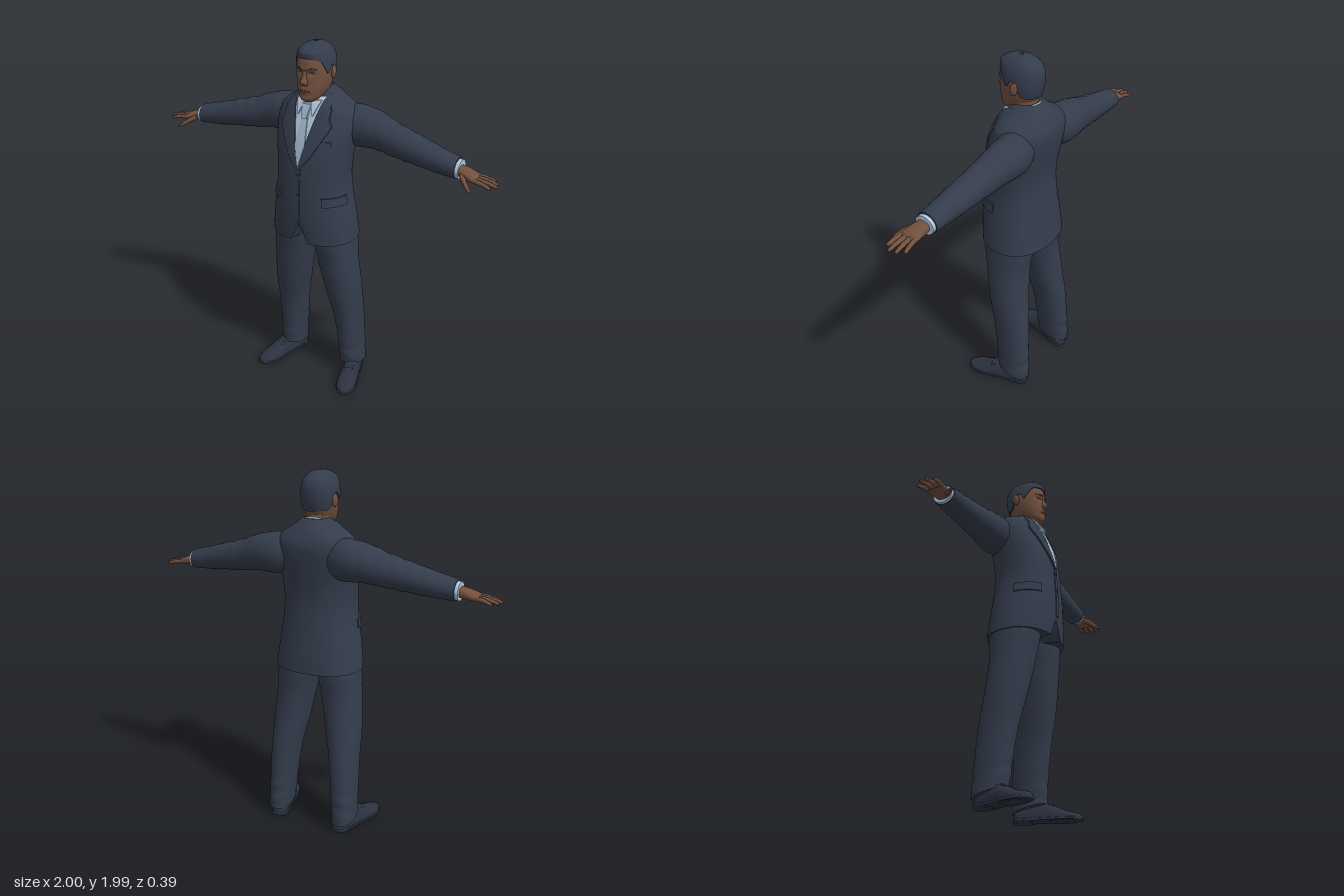
import * as THREE from 'three';
import { toCreasedNormals } from 'three/addons/utils/BufferGeometryUtils.js';

const mat = (name, color) => {
  const m = new THREE.MeshStandardMaterial({ color, side: THREE.DoubleSide });
  m.name = name;
  return m;
};

// Smooth monotone interpolation of rows keyed by their first column
function at(rows, t) {
  let i = 0;
  while (i < rows.length - 2 && t > rows[i + 1][0]) i++;
  const a = rows[i], b = rows[i + 1], h = b[0] - a[0];
  const k = Math.min(1, Math.max(0, (t - a[0]) / h));
  const slope = (j, c) => (rows[j + 1][c] - rows[j][c]) / (rows[j + 1][0] - rows[j][0]);
  const tangent = (j, c) => {
    if (j === 0) return slope(0, c);
    if (j === rows.length - 1) return slope(j - 1, c);
    const p = slope(j - 1, c), q = slope(j, c);
    return p * q <= 0 ? 0 : (2 * p * q) / (p + q);
  };
  return a.map((v, c) => c === 0 ? t :
    v * (1 + 2 * k) * (1 - k) ** 2 + b[c] * k * k * (3 - 2 * k) +
    h * (tangent(i, c) * k * (1 - k) ** 2 + tangent(i + 1, c) * k * k * (k - 1)));
}

// Geometry from points and faces, turned to face outwards
function finish(pts, idx, crease = 0.9) {
  const o = new THREE.Vector3(0, 1.6, 0), q = pts.map(p => p.clone().sub(o));
  let vol = 0;
  for (let i = 0; i < idx.length; i += 3) vol += q[idx[i]].dot(q[idx[i + 1]].clone().cross(q[idx[i + 2]]));
  const g = new THREE.BufferGeometry().setFromPoints(pts);
  g.setIndex(vol < 0 ? idx.reverse() : idx);
  return toCreasedNormals(g, crease);
}

const pow = (v, e) => Math.sign(v) * Math.abs(v) ** e;

// Closed loft; rows are [position on axis, centre 1, centre 2, radius 1, radius 2]
function loft(rows, { axis = 'y', n = 2, steps = 4, seg = 36, warp } = {}) {
  const pts = [], idx = [], ts = [];
  rows.slice(1).forEach((r, i) => {
    for (let k = 0; k < steps; k++) ts.push(rows[i][0] + (r[0] - rows[i][0]) * k / steps);
  });
  ts.push(rows[rows.length - 1][0]);
  const put = (t, a, b) => {
    const p = axis === 'x' ? new THREE.Vector3(t, a, b) : axis === 'y' ? new THREE.Vector3(a, t, b) : new THREE.Vector3(a, b, t);
    if (warp) warp(p);
    return pts.push(p) - 1;
  };
  for (const t of ts) {
    const [, c1, c2, r1, r2] = at(rows, t);
    for (let j = 0; j < seg; j++) {
      const w = j / seg * Math.PI * 2;
      put(t, c1 + r1 * pow(Math.cos(w), 2 / n), c2 + r2 * pow(Math.sin(w), 2 / n));
    }
  }
  const last = ts.length - 1;
  for (let i = 0; i < last; i++) for (let j = 0; j < seg; j++) {
    const a = i * seg + j, b = i * seg + (j + 1) % seg;
    idx.push(a, a + seg, b, b, a + seg, b + seg);
  }
  const c0 = put(ts[0], rows[0][1], rows[0][2]), c1 = put(ts[last], rows[rows.length - 1][1], rows[rows.length - 1][2]);
  for (let j = 0; j < seg; j++) {
    const k = (j + 1) % seg;
    idx.push(c0, j, k, c1, last * seg + k, last * seg + j);
  }
  return finish(pts, idx);
}

// Thin panel over fn(u, v, rim), with its border folded down
function panel(fn, nu = 8, nv = 16) {
  const pts = [], idx = [], w = nu + 3, clamp = (v, n) => Math.min(n, Math.max(0, v)) / n;
  for (let j = -1; j <= nv + 1; j++) for (let i = -1; i <= nu + 1; i++) {
    pts.push(new THREE.Vector3(...fn(clamp(i, nu), clamp(j, nv), i < 0 || j < 0 || i > nu || j > nv)));
  }
  for (let j = 0; j < nv + 2; j++) for (let i = 0; i < nu + 2; i++) {
    const a = j * w + i;
    idx.push(a, a + 1, a + w, a + 1, a + w + 1, a + w);
  }
  return finish(pts, idx, 0.7);
}

const body = rows => rows.map(([y, front, back, rx, cx = 0]) => [y, cx, (front + back) / 2, rx, (front - back) / 2]);
const frontZ = (rows, n, x, y) => {
  const [, , c, rx, rz] = at(rows, y);
  return c + rz * Math.max(0, 1 - Math.abs(x / rx) ** n) ** (1 / n);
};

const TORSO = body([[0.935, 0.19, -0.19, 0.243], [1, 0.195, -0.185, 0.236], [1.1, 0.198, -0.175, 0.222], [1.2, 0.197, -0.165, 0.206],
  [1.3, 0.192, -0.157, 0.198], [1.4, 0.183, -0.162, 0.204], [1.5, 0.16, -0.178, 0.218], [1.58, 0.13, -0.188, 0.226],
  [1.64, 0.105, -0.185, 0.213], [1.675, 0.09, -0.17, 0.183], [1.71, 0.07, -0.15, 0.13], [1.74, 0.04, -0.125, 0.09], [1.755, 0.02, -0.11, 0.07]]);
const HEAD = body([[1.7, 0.1, 0, 0.03], [1.712, 0.116, -0.02, 0.046], [1.75, 0.12, -0.06, 0.069], [1.78, 0.122, -0.085, 0.079],
  [1.82, 0.12, -0.1, 0.086], [1.86, 0.12, -0.108, 0.089], [1.9, 0.12, -0.11, 0.086], [1.935, 0.11, -0.1, 0.077],
  [1.958, 0.095, -0.08, 0.063], [1.974, 0.07, -0.055, 0.046], [1.983, 0.045, -0.03, 0.026], [1.987, 0.012, 0.002, 0.004]]);
const LEG = body([[0.05, 0.015, -0.185, 0.066, 0.206], [0.12, 0.017, -0.183, 0.067, 0.203], [0.2, 0.022, -0.179, 0.069, 0.199],
  [0.4, 0.048, -0.166, 0.078, 0.187], [0.6, 0.09, -0.142, 0.097, 0.165], [0.8, 0.122, -0.13, 0.108, 0.138],
  [0.93, 0.14, -0.14, 0.116, 0.121], [1.05, 0.14, -0.14, 0.11, 0.11]]);
const TN = 2.3;
const bell = (d, w) => Math.exp(-((d / w) ** 2));

// Brow ridge, eye sockets and mouth
function faceWarp(p) {
  if (p.z < 0.02) return;
  const x = Math.abs(p.x);
  p.z += -0.011 * bell(x - 0.034, 0.018) * bell(p.y - 1.853, 0.012) + 0.006 * bell(p.y - 1.877, 0.01) * bell(x, 0.06)
    + 0.008 * bell(x, 0.028) * bell(p.y - 1.762, 0.014) + 0.005 * bell(x, 0.025) * bell(p.y - 1.722, 0.012);
}

export function createModel() {
  const root = new THREE.Group();
  const suit = mat('navy suit', 0x343c4c), skin = mat('skin', 0x72503f), shirt = mat('pale blue shirt', 0xb0c6da),
    tie = mat('blue tie', 0x9fb5cb), leather = mat('dark leather', 0x2c3241), shade = mat('dark skin', 0x523930);
  const add = (name, geo, material, parent = root) => {
    const m = new THREE.Mesh(geo, material);
    m.name = name;
    parent.add(m);
    return m;
  };
  // Panel lying on the jacket front between two edges
  const onChest = (name, material, y0, y1, left, right, off) => add(name, panel((u, v, rim) => {
    const y = y0 + (y1 - y0) * v, x = left(y) + (right(y) - left(y)) * u;
    return [x, y, frontZ(TORSO, TN, x, y) + (rim ? -0.003 : off)];
  }), material);
  const onFace = (name, material, y0, y1, x0, x1, off, arch) => add(name, panel((u, v, rim) => {
    const x = x0 + (x1 - x0) * u, y = y0 + (y1 - y0) * v + arch * Math.sin(u * Math.PI);
    const p = new THREE.Vector3(x, y, frontZ(HEAD, 2.2, x, y));
    faceWarp(p);
    return [x, y, p.z + (rim ? -0.003 : off)];
  }, 8, 2), material);

  // Jacket body with cutaway hem
  add('jacket', loft(TORSO, { n: TN, seg: 64, warp: p => {
    if (p.z > 0.1 && p.y < 1.1) p.y += 0.11 * Math.max(0, 1 - Math.abs(p.x) / 0.06) * (1.1 - p.y) / 0.165;
  } }), suit);

  // Shirt front, tie and lapels
  const vee = y => 0.078 * Math.max(0, (y - 1.37) / 0.34);
  const blade = y => Math.min(vee(y), 0.016 + 0.014 * Math.min(1, Math.max(0, (1.63 - y) / 0.14)));
  const knot = y => 0.014 + 0.012 * (y - 1.62) / 0.07;
  onChest('shirtFront', shirt, 1.37, 1.725, y => -vee(y), vee, 0.003);
  onChest('tieBlade', tie, 1.37, 1.64, y => -blade(y), blade, 0.009);
  onChest('tieKnot', tie, 1.62, 1.69, y => -knot(y), knot, 0.018);
  onChest('placket', suit, 1.06, 1.38, () => -0.014, () => 0.012, 0.004);
  const lapelEdge = [[1.36, 0.006], [1.42, 0.055], [1.52, 0.112], [1.61, 0.15], [1.622, 0.122], [1.632, 0.105], [1.645, 0.135], [1.69, 0.118], [1.735, 0.088]];
  onChest('breastPocket', suit, 1.5, 1.518, () => 0.095, () => 0.155, 0.005);
  for (const y of [1.33, 1.22]) {
    add('button', new THREE.CylinderGeometry(0.008, 0.008, 0.006, 16).rotateX(Math.PI / 2), leather)
      .position.set(0, y, frontZ(TORSO, TN, 0, y) + 0.005);
  }

  // Neck and collars
  add('neck', loft([[1.62, 0, -0.03, 0.068, 0.06], [1.72, 0, -0.015, 0.068, 0.068], [1.8, 0, -0.01, 0.066, 0.07]]), skin);
  const collar = (name, material, a0, a1, r, flare, top, height) => add(name, panel((u, v) => {
    const a = a0 + (a1 - a0) * u, q = r + flare * (1 - v), z = -0.02 + q * Math.sin(a);
    return [q * Math.cos(a), top - 0.4 * z - height * (1 - v), z];
  }, 48, 4), material);
  collar('shirtCollar', shirt, 0, Math.PI * 2, 0.076, 0.008, 1.727, 0.045);
  collar('jacketCollar', suit, Math.PI - 0.3, Math.PI * 2 + 0.3, 0.088, 0.02, 1.708, 0.06);

  // Head, nose, mouth and hair
  add('head', loft(HEAD, { n: 2.2, steps: 5, seg: 72, warp: faceWarp }), skin);
  add('nose', loft(body([[1.788, 0.122, 0.1, 0.008], [1.795, 0.138, 0.1, 0.018], [1.81, 0.149, 0.1, 0.019], [1.83, 0.137, 0.1, 0.012],
    [1.865, 0.124, 0.1, 0.009], [1.878, 0.118, 0.1, 0.008]]), { seg: 24 }), skin);
  onFace('mouth', shade, 1.756, 1.767, -0.026, 0.026, 0.002, 0.001);
  const hairline = [[-1, 1.79], [-0.5, 1.8], [-0.22, 1.85], [0, 1.885], [0.22, 1.845], [0.4, 1.87], [0.65, 1.915], [1, 1.925]];
  add('hair', panel((u, v, rim) => {
    const a = u * Math.PI * 2, s = Math.sin(a), y0 = at(hairline, s)[1], y = y0 + (1.987 - y0) * v;
    const [, , c, rx, rz] = at(HEAD, y), off = rim ? 0 : 0.006 + 0.014 * Math.max(0, s) ** 2 * bell(y - 1.953, 0.02);
    return [(rx + off) * pow(Math.cos(a), 2 / 2.2), y + (rim ? 0 : 0.007 * v), c + (rz + off) * pow(s, 2 / 2.2)];
  }, 72, 24), suit);

  for (const s of [1, -1]) {
    const mirror = p => { p.x *= s; };
    const side = s > 0 ? 'left' : 'right';
    const span = (name, material, y0, y1, inner, outer, off) =>
      onChest(name, material, y0, y1, y => s * inner(y), y => s * outer(y), off);
    span(side + 'Lapel', suit, 1.36, 1.735, vee, y => Math.max(vee(y) + 0.006, at(lapelEdge, y)[1]), 0.01);
    span(side + 'CollarPoint', shirt, 1.635, 1.71, y => 0.04 - 0.3 * (y - 1.635), y => 0.044 + 0.35 * (y - 1.635), 0.012);

    // Hip pocket flap wrapping round to the side
    add(side + 'PocketFlap', panel((u, v, rim) => {
      const a = 0.1 + 0.85 * u, y = 1.16 + 0.05 * v + 0.012 * u * 0.5, off = rim ? -0.003 : 0.007;
      const [, , c, rx, rz] = at(TORSO, y);
      return [s * ((rx + off) * pow(Math.cos(a), 2 / TN)), y, c + (rz + off) * pow(Math.sin(a), 2 / TN)];
    }, 12, 4), suit);

    // Sleeve with soft folds, cuff and hand
    add(side + 'Sleeve', loft([[0.1, 1.56, -0.07, 0.09, 0.085], [0.2, 1.558, -0.085, 0.112, 0.104], [0.25, 1.557, -0.088, 0.108, 0.102],
      [0.32, 1.55, -0.085, 0.1, 0.093], [0.42, 1.525, -0.073, 0.088, 0.082], [0.55, 1.5, -0.062, 0.076, 0.075],
      [0.68, 1.475, -0.05, 0.064, 0.067], [0.78, 1.46, -0.043, 0.054, 0.061]], { axis: 'x', steps: 7, warp: p => {
      p.y += 0.0025 * Math.sin(p.x * 75 + p.z * 25) * bell(p.x - 0.47, 0.17);
      mirror(p);
    } }), suit);
    add(side + 'Cuff', loft([[0.74, 1.462, -0.043, 0.049, 0.056], [0.797, 1.456, -0.042, 0.047, 0.055]], { axis: 'x', warp: mirror }), shirt);
    add(side + 'Palm', loft([[0.76, 1.456, -0.036, 0.028, 0.036], [0.8, 1.452, -0.036, 0.027, 0.039], [0.84, 1.444, -0.031, 0.025, 0.046],
      [0.88, 1.434, -0.026, 0.018, 0.05], [0.897, 1.43, -0.026, 0.009, 0.044]], { axis: 'x', n: 2.4, warp: mirror }), skin);
    for (const [z0, x1, z1] of [[-0.062, 0.965, -0.076], [-0.038, 0.992, -0.043], [-0.013, 1, -0.006], [0.012, 0.975, 0.027]]) {
      const L = x1 - 0.87, row = (k, y, r) => [0.87 + L * k, y, z0 + (z1 - z0) * k, r, r];
      add(side + 'Finger', loft([row(0, 1.436, 0.012), row(0.5, 1.43, 0.0115), row(0.9, 1.419, 0.009), row(1, 1.416, 0.002)],
        { axis: 'x', seg: 14, warp: mirror }), skin);
    }
    add(side + 'Thumb', loft([[0.81, 1.442, -0.005, 0.016, 0.022], [0.845, 1.422, 0.032, 0.015, 0.018], [0.875, 1.402, 0.058, 0.011, 0.013],
      [0.895, 1.391, 0.072, 0.003, 0.004]], { axis: 'x', seg: 16, warp: mirror }), skin);

    // Ear, brow and eye
    const ear = add(side + 'Ear', new THREE.SphereGeometry(1, 20, 14), skin);
    ear.scale.set(0.012, 0.035, 0.021);
    ear.position.set(s * 0.093, 1.843, -0.012);
    ear.rotation.set(-0.15, s * 0.3, 0);
    onFace(side + 'Brow', suit, 1.869, 1.876, s * 0.016, s * 0.058, 0.003, 0.005);
    onFace(side + 'Eye', shade, 1.849, 1.854, s * 0.02, s * 0.047, 0.003, 0.004);

    // Trouser leg breaking over the shoe
    add(side + 'TrouserLeg', loft(LEG, { n: 2.2, steps: 8, seg: 44, warp: p => {
      if (p.y < 0.2) p.y += 0.045 * Math.max(0, (p.z + 0.17) / 0.19) * (0.2 - p.y) / 0.15;
      p.z += 0.003 * Math.sin(p.y * 65 + p.x * 20) * bell(p.y - 0.17, 0.12);
      mirror(p);
    } }), suit);

    // Shoe, turned out at the toe
    const shoe = new THREE.Group();
    shoe.name = side + 'Shoe';
    shoe.position.set(s * 0.235, 0, 0);
    shoe.rotation.y = s * 0.27;
    root.add(shoe);
    const last = [[-0.175, 0.022, 0.045], [-0.162, 0.04, 0.075], [-0.1, 0.047, 0.1], [-0.01, 0.05, 0.108], [0.05, 0.055, 0.085],
      [0.11, 0.056, 0.06], [0.155, 0.045, 0.048], [0.183, 0.027, 0.038], [0.195, 0.008, 0.026]];
    add('shoeUpper', loft(last.map(([z, w, h]) => [z, 0, 0.015, w, h - 0.015]), { axis: 'z', n: 2.3, warp: p => { p.y = Math.max(0.012, p.y); } }), leather, shoe);
    add('shoeSole', loft(last.map(([z, w]) => [z, 0, 0.013, w + 0.004, 0.008]), { axis: 'z', n: 6 }), leather, shoe);
    add('shoeHeel', loft(last.slice(0, 3).concat([[-0.075, 0.047]]).map(([z, w]) => [z, 0, 0.012, w + 0.003, 0.012]), { axis: 'z', n: 6 }), leather, shoe);
    add('shoeBall', loft([[0.02, 0, 0.008, 0.04, 0.008], [0.07, 0, 0.008, 0.055, 0.008], [0.15, 0, 0.008, 0.044, 0.008]], { axis: 'z', n: 6 }), leather, shoe);
    for (const z of [0.02, 0.04]) {
      const lace = add('lace', new THREE.TorusGeometry(0.03, 0.004, 8, 20, Math.PI), leather, shoe);
      lace.scale.y = 0.4;
      lace.position.set(0, 0.085 - (z - 0.02) * 0.4, z);
    }
  }
  return root;
}
